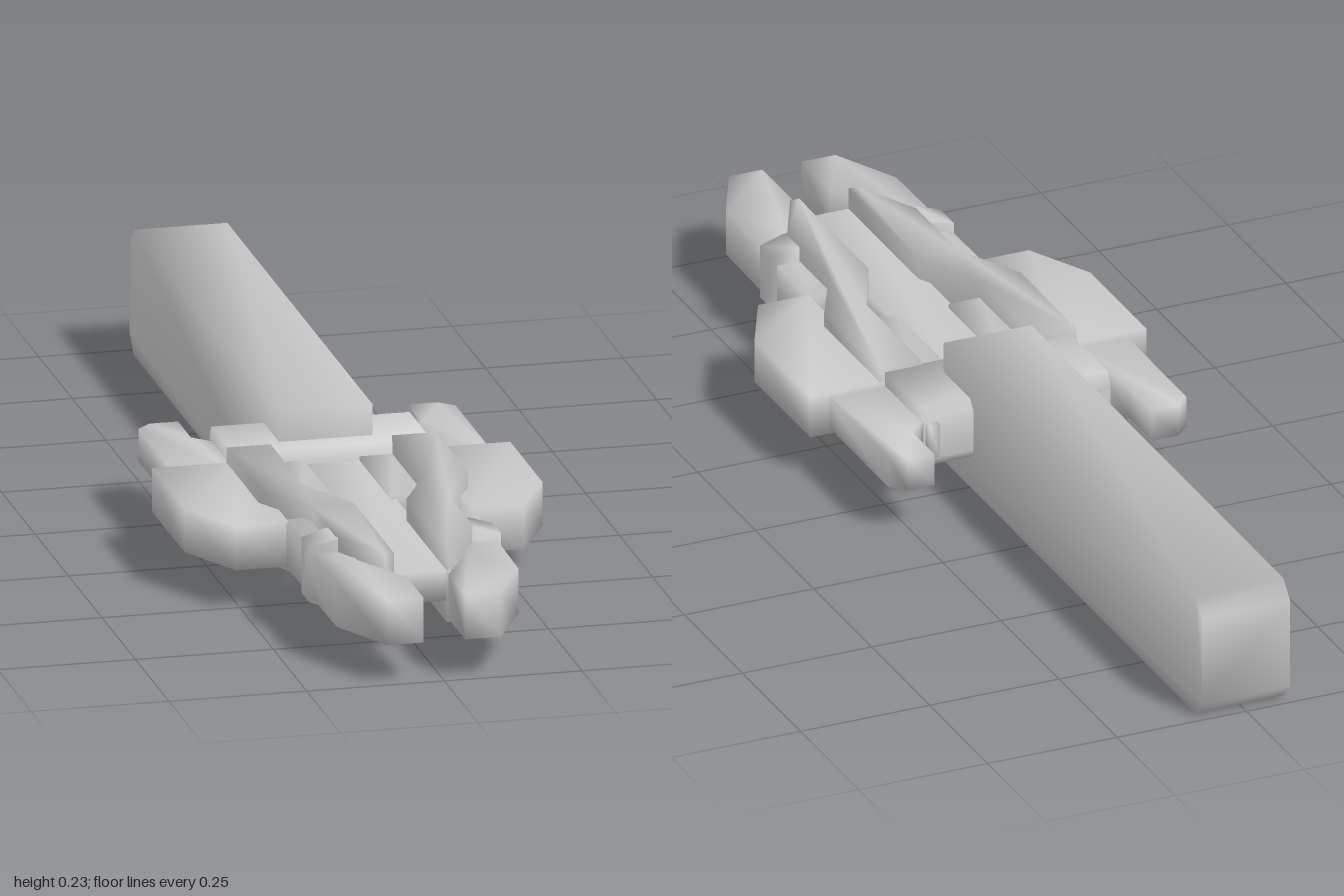
import * as THREE from 'three';
import { mergeVertices } from 'three/addons/utils/BufferGeometryUtils.js';

const material = new THREE.MeshStandardMaterial({ color: 0xcccccc });

// Extrude an outline and blend its normals across the edges
function softExtrude(points, depth) {
  const shape = new THREE.Shape(points.map(([x, y]) => new THREE.Vector2(x, y)));
  let geo = new THREE.ExtrudeGeometry(shape, { depth, bevelEnabled: false });
  geo.deleteAttribute('normal');
  geo.deleteAttribute('uv');
  geo = mergeVertices(geo, 1e-4);
  geo.computeVertexNormals();
  return geo;
}

export function createModel() {
  const group = new THREE.Group();

  function add(name, geo) {
    const mesh = new THREE.Mesh(geo, material);
    mesh.name = name;
    group.add(mesh);
  }

  // Flat part from a plan outline of [x, z] points, between two heights
  function plate(name, outline, y0, y1) {
    const geo = softExtrude(outline.map(([x, z]) => [x, -z]), y1 - y0);
    geo.rotateX(-Math.PI / 2).translate(0, y0, 0);
    add(name, geo);
  }

  function pair(name, outline, y0, y1) {
    plate(name + 'Left', outline, y0, y1);
    plate(name + 'Right', outline.map(([x, z]) => [-x, z]), y0, y1);
  }

  // Side profile of [z, y] points, spanning the width
  function profile(name, outline, width) {
    const geo = softExtrude(outline, width);
    geo.rotateY(-Math.PI / 2).translate(width / 2, 0, 0);
    add(name, geo);
  }

  // Long grip with clipped rear corners
  profile('handle', [
    [0.115, 0], [0.115, 0.232], [-0.97, 0.232], [-1, 0.2], [-1, 0.032], [-0.97, 0],
  ], 0.17);

  // Central body
  profile('core', [
    [0.16, 0.06], [0.16, 0.175], [0, 0.175], [-0.015, 0.155], [-0.015, 0.08], [0, 0.06],
  ], 0.36);
  plate('tongue', [[-0.06, 0.1], [0.06, 0.1], [0.06, 0.82], [-0.06, 0.82]], 0.09, 0.145);
  pair('innerBar', [[0.05, 0.15], [0.115, 0.15], [0.115, 0.395], [0.05, 0.395]], 0.08, 0.152);
  pair('rearNub', [[0.155, -0.025], [0.175, -0.025], [0.18, -0.01], [0.18, 0.03], [0.155, 0.03]], 0.085, 0.15);

  // Thick cranked rails narrowing to the nose
  pair('rail', [
    [0.11, 0.155], [0.19, 0.155], [0.19, 0.395], [0.125, 0.52],
    [0.125, 0.7], [0.065, 0.82], [0.048, 0.82], [0.048, 0.52], [0.11, 0.395],
  ], 0.05, 0.185);

  // Outer shoulders and the prongs behind them
  pair('shoulder', [
    [0.165, 0.155], [0.325, 0.155], [0.325, 0.395], [0.262, 0.52], [0.165, 0.52],
  ], 0.076, 0.157);
  pair('rearProng', [
    [0.18, 0.2], [0.18, 0], [0.21, -0.03], [0.21, -0.125],
    [0.262, -0.125], [0.288, -0.1], [0.288, 0.2],
  ], 0.088, 0.148);

  // Forward jaws
  pair('jaw', [
    [0.1, 0.5], [0.17, 0.5], [0.165, 0.875], [0.103, 1],
    [0.038, 1], [0.038, 0.875], [0.1, 0.76],
  ], 0.074, 0.157);

  // Bands wrapping rail and jaw, clipped on the outside
  const bandSection = [[0.08, 0.052], [0.13, 0.052], [0.174, 0.068], [0.174, 0.17], [0.13, 0.184], [0.08, 0.184]];
  for (const [name, side] of [['bandLeft', 1], ['bandRight', -1]]) {
    const geo = softExtrude(bandSection.map(([x, y]) => [x * side, y]), 0.06);
    geo.translate(0, 0, 0.647);
    add(name, geo);
  }

  return group;
}
